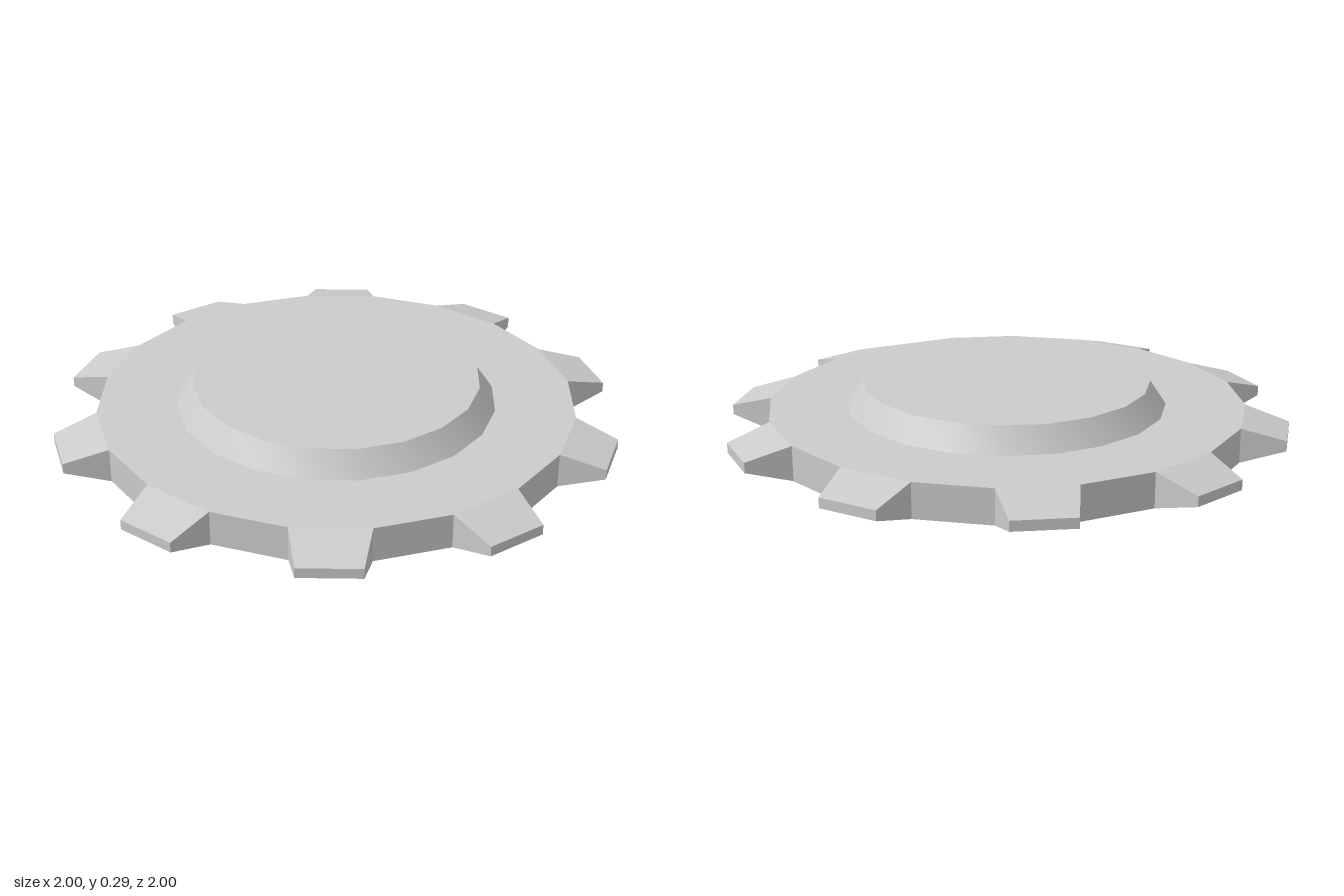
import * as THREE from 'three';
import { toCreasedNormals } from 'three/addons/utils/BufferGeometryUtils.js';

const SIDES = 20;
const RADIUS = 0.85;
const MID_Y = 0.147;       // height of the mirror plane
const DISC_HALF = 0.062;   // half thickness of the toothed disc

const lathe = (points) =>
  new THREE.LatheGeometry(points.map(([r, y]) => new THREE.Vector2(r, y)), SIDES);

// Tapered tooth, pointing along +z from one flat side of the disc
function toothGeometry() {
  const base = RADIUS * Math.cos(Math.PI / SIDES);
  const halfWidth = RADIUS * Math.sin(Math.PI / SIDES);
  const tip = 0.996;
  const geometry = new THREE.BoxGeometry(2 * halfWidth, 2 * DISC_HALF, tip - base);
  const p = geometry.attributes.position;
  for (let i = 0; i < p.count; i++) {
    if (p.getZ(i) > 0) p.setXYZ(i, p.getX(i) * 0.805, p.getY(i) * 0.29, p.getZ(i));
  }
  geometry.translate(0, 0, (base + tip) / 2);
  geometry.computeVertexNormals();
  return geometry;
}

export function createModel() {
  const model = new THREE.Group();
  model.name = 'gear';
  const flat = new THREE.MeshStandardMaterial({ color: 0xcccccc, flatShading: true });
  const smooth = new THREE.MeshStandardMaterial({ color: 0xcccccc });

  const add = (name, geometry, material) => {
    const mesh = new THREE.Mesh(geometry, material);
    mesh.name = name;
    mesh.position.y = MID_Y;
    model.add(mesh);
    return mesh;
  };

  // Twenty-sided disc, open where the hubs rise from it
  add('disc', lathe([
    [0.567, -DISC_HALF], [RADIUS, -DISC_HALF], [RADIUS, DISC_HALF], [0.567, DISC_HALF],
  ]), flat);

  // Bevelled hubs above and below
  const hub = toCreasedNormals(lathe([[0.567, DISC_HALF], [0.51, MID_Y], [0, MID_Y]]), Math.PI / 6);
  add('upperHub', hub, smooth);
  add('lowerHub', hub, smooth).rotation.x = Math.PI;

  // Teeth on every other side of the disc
  const tooth = toothGeometry();
  for (let i = 0; i < SIDES / 2; i++) {
    add('tooth' + (i + 1), tooth, flat).rotation.y = ((2 * i + 0.5) / SIDES) * Math.PI * 2;
  }
  return model;
}
